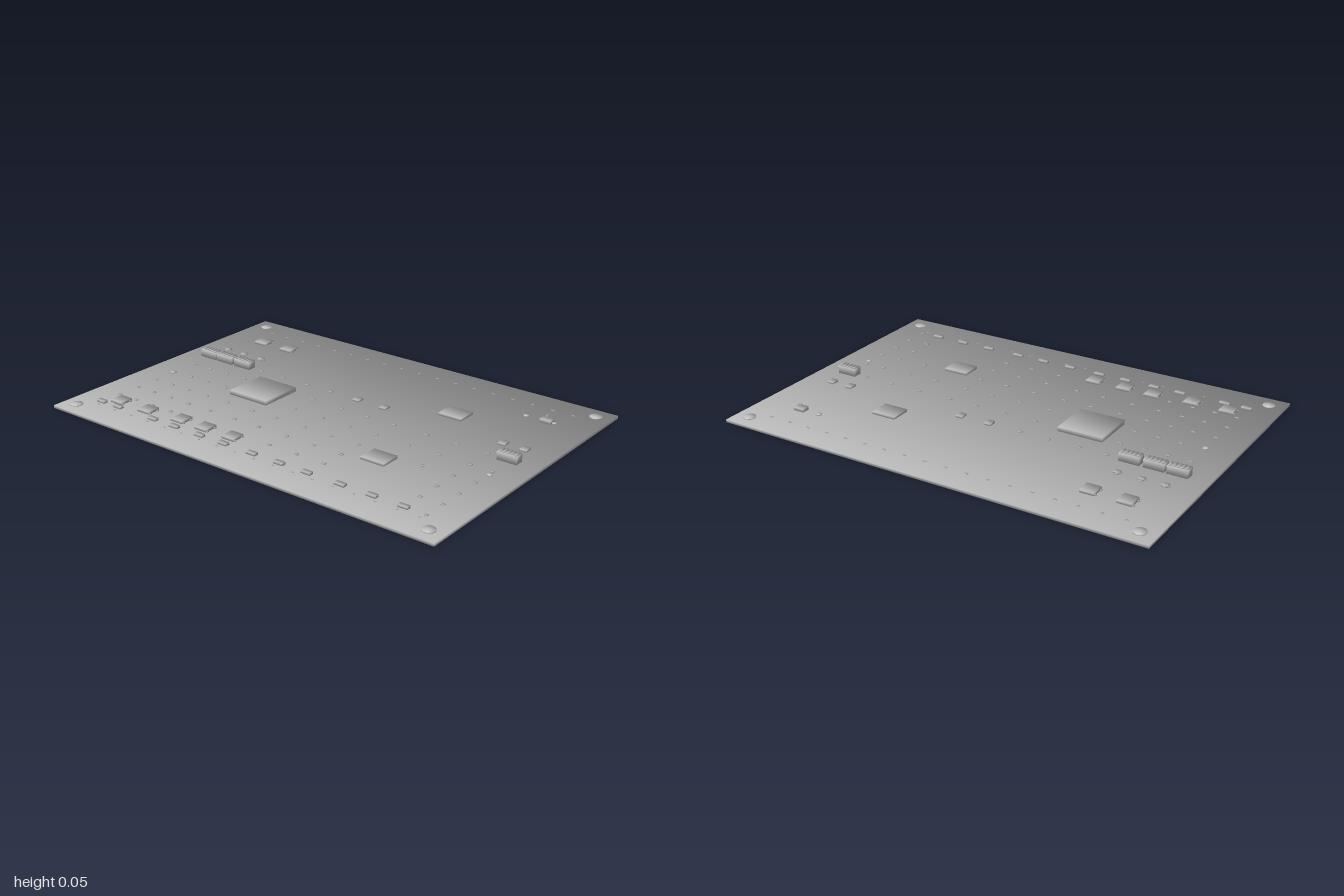
import * as THREE from 'three';

const TOP = 0.013; // board surface height

export function createModel() {
  const model = new THREE.Group();
  const grey = new THREE.MeshStandardMaterial({ color: 0xbebebe });
  grey.name = 'grey';

  function add(geometry, name, x, y, z) {
    const mesh = new THREE.Mesh(geometry, grey);
    mesh.name = name;
    mesh.position.set(x, y, z);
    model.add(mesh);
    return mesh;
  }

  // Shade softly: every corner normal leans outward along its own diagonal
  function soften(geometry, rule) {
    const p = geometry.attributes.position;
    const n = new THREE.Vector3();
    for (let i = 0; i < p.count; i++) {
      rule(n.fromBufferAttribute(p, i)).normalize();
      geometry.attributes.normal.setXYZ(i, n.x, n.y, n.z);
    }
    return geometry;
  }
  function block(name, x, z, w, d, top, bottom = TOP - 0.001) {
    const g = soften(new THREE.BoxGeometry(w, top - bottom, d),
      (v) => v.set(Math.sign(v.x), Math.sign(v.y), Math.sign(v.z)));
    return add(g, name, x, (top + bottom) / 2, z);
  }
  function disc(name, x, z, r, top, sides = 16) {
    const h = top - TOP + 0.001;
    const g = soften(new THREE.CylinderGeometry(r, r, h, sides),
      (v) => v.set(v.x / r, Math.sign(v.y), v.z / r));
    return add(g, name, x, top - h / 2, z);
  }

  // Board with a fixing stud in each corner
  block('board', 0, 0, 2, 1.416, TOP, 0);
  for (const x of [-0.93, 0.93]) for (const z of [-0.637, 0.637]) disc('cornerStud', x, z, 0.028, 0.017);

  // Processor and the two memory chips
  block('processor', -0.371, 0.036, 0.21, 0.206, 0.034);
  for (const z of [-0.288, 0.271]) block('memoryChip', 0.443, z, 0.115, 0.096, 0.025);

  // Small square chips with short legs at both sides
  const squares = [[-0.791, -0.457], [-0.631, -0.457], [-0.8, 0.494], [-0.631, 0.494],
    [-0.447, 0.478], [-0.308, 0.478], [-0.155, 0.478]];
  for (const [x, z] of squares) {
    block('squareChip', x, z, 0.064, 0.066, 0.025);
    for (const s of [-1, 1]) for (const dz of [-0.022, 0.022]) {
      block('chipLeg', x + s * 0.032, z + dz, 0.012, 0.01, 0.018);
    }
  }

  // Tall connectors with a row of ridges on top
  const tall = [[-0.864, -0.156], [-0.762, -0.156], [-0.653, -0.156], [0.86, -0.034]];
  for (const [x, z] of tall) {
    block('connector', x, z, 0.092, 0.044, 0.049);
    for (let i = 0; i < 5; i++) block('connectorRidge', x - 0.036 + i * 0.018, z, 0.008, 0.036, 0.053, 0.048);
  }

  // Transistors: a die with a leg out of each side
  for (const x of [-0.861, -0.759, -0.652]) {
    block('transistor', x, -0.273, 0.024, 0.022, 0.022);
    block('transistorLegs', x, -0.273, 0.04, 0.01, 0.017);
    block('transistorLegs', x, -0.273, 0.01, 0.034, 0.017);
  }

  // Medium components
  for (const x of [0.016, 0.16, 0.76, 0.861]) block('resistor', x, -0.157, 0.032, 0.038, 0.022);

  // Switch with its thin lever
  block('switchBody', 0.79, -0.463, 0.052, 0.038, 0.028);
  block('switchLever', 0.79, -0.463, 0.004, 0.004, 0.046);
  disc('switchPin', 0.826, -0.463, 0.01, 0.018, 8);

  // Round pads
  for (const [x, z] of [[0.69, -0.463], [-0.863, 0.106], [0.87, 0.127]]) disc('roundPad', x, z, 0.012, 0.018, 10);

  // Front row of capacitors
  const columns = [-0.861, -0.759, -0.655, -0.545, -0.417, -0.273, -0.139,
    0.016, 0.16, 0.3, 0.465, 0.615, 0.76, 0.861];
  columns.forEach((x, i) => {
    if (i === 2) return;
    if (i === 13) block('contact', x, 0.551, 0.016, 0.01, 0.017);
    else block('capacitor', x, 0.551, 0.046, 0.022, 0.024);
  });

  // Grid of tiny contacts; each row lists the columns it fills
  const rows = [
    [-0.158, [3, 4, 5, 6]],
    [-0.035, [0, 1, 2, 3, 5, 6, 7, 8, 9, 10, 11, 12]],
    [0.096, [0, 1, 2, 3, 5, 6, 7, 8, 9, 10, 11, 12, 13]],
    [0.219, [0, 1, 2, 3, 4, 5, 6, 7, 8, 9, 11, 12, 13]],
    [0.334, [0, 1, 2, 3, 4, 5, 6, 7, 8, 9, 12, 13]],
    [0.444, [0, 1, 2, 3, 7, 8, 9, 12, 13]],
  ];
  for (const [z, filled] of rows) for (const i of filled) block('contact', columns[i], z, 0.018, 0.011, 0.017);

  // Edge contacts along the back and front
  for (let i = 0; i < 18; i++) {
    const x = -0.85 + i * 0.1;
    block('edgeContact', x, -0.588, 0.016, 0.007, 0.015);
    block('edgeContact', x, 0.58, 0.012, 0.005, 0.015);
  }

  return model;
}
